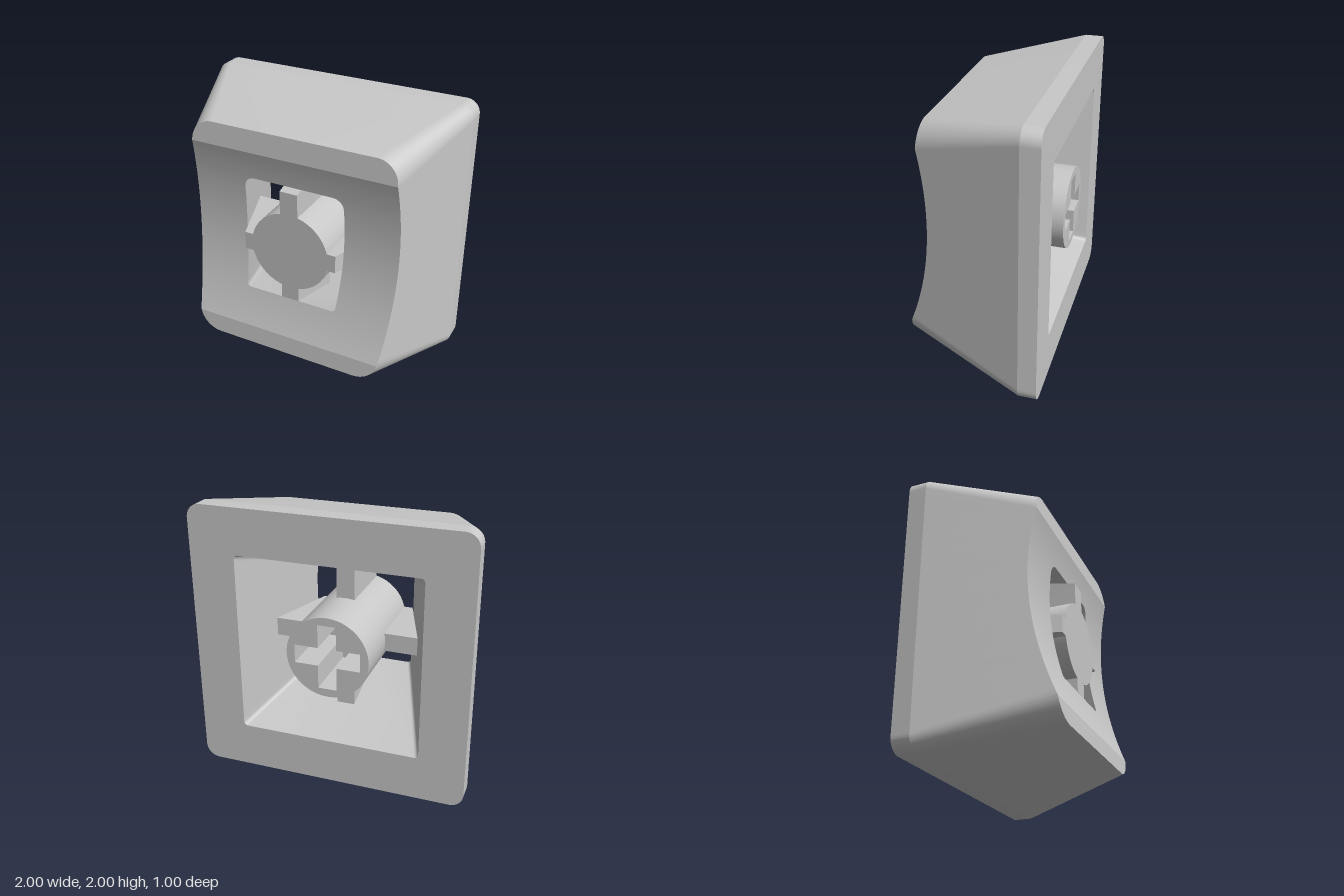
import * as THREE from 'three';
import { toCreasedNormals } from 'three/addons/utils/BufferGeometryUtils.js';

const BACK = -0.5, SKIRT = -0.37, STEM_FRONT = 0.39;

// Rounded-rectangle sections at depth z: outer shell and inner cavity
function outer(z) {
  const d = Math.max(0, z - SKIRT), r = 0.1 + 0.085 * d;
  return { hx: 1 - 0.31 * d, top: 2 - 0.205 * d, bot: 0.207 * d, rt: r, rb: r };
}
function inner(z) {
  const d = z - BACK;
  return { hx: 0.667 - 0.348 * d, top: 1.667 - 0.225 * d, bot: 0.333 + 0.3 * d, rt: 0.03 + 0.06 * d, rb: 0.03 - 0.005 * d };
}

// Depth of the dished face at height y: two flat lips and a shallow scoop between
function dish(y) {
  if (y > 1.69) return 0.369 - 0.1 * (y - 1.69);
  if (y < 0.32) return 0.485 - 0.1 * (y - 0.32);
  const u = (y - 1.005) / 0.685;
  return 0.369 + 0.0847 * (1.69 - y) - 0.11 * (1 - u * u);
}

// Point on the +x half of a section: u 0-1 top corner, 1-2 side, 2-3 bottom corner
function point(section, u, z) {
  const { hx, top, bot, rt, rb } = section(z);
  if (u >= 1 && u <= 2) return new THREE.Vector3(hx, THREE.MathUtils.lerp(top - rt, bot + rb, u - 1), z);
  const r = u < 1 ? rt : rb;
  const a = (u < 1 ? 1 - u : 2 - u) * Math.PI / 2;
  return new THREE.Vector3(hx - r + r * Math.cos(a), (u < 1 ? top - r : bot + r) + r * Math.sin(a), z);
}

// Where the section's line u meets the dished face
function onDish(section, u) {
  let z = 0.4;
  for (let i = 0; i < 30; i++) z = dish(point(section, u, z).y);
  return point(section, u, z);
}

// Line u that meets the dished face at height y
function lineAt(section, y) {
  let lo = 0, hi = 3;
  for (let i = 0; i < 40; i++) {
    const mid = (lo + hi) / 2;
    if (onDish(section, mid).y > y) lo = mid; else hi = mid;
  }
  return (lo + hi) / 2;
}

const steps = (from, to, n) => Array.from({ length: n + 1 }, (_, i) => from + (to - from) * i / n);

// Geometry from quads, each repeated on the mirrored side
function mirrored(quads, crease) {
  const pos = [];
  const tri = (...p) => p.forEach(v => pos.push(v.x, v.y, v.z));
  const flip = v => new THREE.Vector3(-v.x, v.y, v.z);
  for (const [a, b, c, d] of quads) {
    for (const t of [[a, b, c], [a, c, d]]) {
      tri(...t);
      tri(...t.map(flip).reverse());
    }
  }
  const g = new THREE.BufferGeometry();
  g.setAttribute('position', new THREE.Float32BufferAttribute(pos, 3));
  return toCreasedNormals(g, crease);
}

// Close a half loop onto the centre line
function closeHalf(points) {
  const first = points[0].clone().setX(0), last = points[points.length - 1].clone().setX(0);
  return [first, ...points, last];
}

// Quads joining successive half loops
function skin(rings, inward) {
  const quads = [];
  for (let k = 0; k + 1 < rings.length; k++) {
    const [back, front] = [rings[k], rings[k + 1]];
    for (let i = 0; i + 1 < back.length; i++) {
      const q = [front[i], front[i + 1], back[i + 1], back[i]];
      quads.push(inward ? q.reverse() : q);
    }
  }
  return quads;
}

function fullLoop(half) {
  return [...half, ...half.map(v => new THREE.Vector3(-v.x, v.y, v.z)).reverse()].map(v => new THREE.Vector2(v.x, v.y));
}

export function createModel() {
  const group = new THREE.Group();
  const plastic = new THREE.MeshStandardMaterial({ color: 0xc8c8c8 });
  plastic.name = 'light grey plastic';
  const add = (name, geometry) => {
    const mesh = new THREE.Mesh(geometry, plastic);
    mesh.name = name;
    group.add(mesh);
    return mesh;
  };

  // Shared rows, so that face, shell and cavity meet edge to edge
  const holeYs = [...steps(0, 1, 8), ...steps(2, 3, 5)].map(u => onDish(inner, u).y);
  const rowYs = [...holeYs, ...steps(0.32, 1.69, 32)];
  const outerUs = [...steps(0, 1, 14), ...steps(2, 3, 14), ...rowYs.map(y => lineAt(outer, y))]
    .sort((a, b) => a - b).filter((u, i, all) => i === 0 || u - all[i - 1] > 1e-5);
  const rim = outerUs.map(u => onDish(outer, u));
  const holeTop = onDish(inner, 0).y, holeBottom = onDish(inner, 3).y;
  const innerUs = rim.filter(p => p.y < holeTop + 1e-4 && p.y > holeBottom - 1e-4).map(p => lineAt(inner, p.y));

  // Outer shell: straight skirt, then tapering walls
  const ring = (section, us, z) => us.map(u => point(section, u, z));
  add('outerShell', mirrored(skin([
    closeHalf(ring(outer, outerUs, BACK)), closeHalf(ring(outer, outerUs, SKIRT)), closeHalf(rim),
  ]), 0.19));

  // Dished face with its window
  const face = [];
  for (let i = 0; i + 1 < rim.length; i++) {
    const [a, b] = [rim[i], rim[i + 1]], mid = (a.y + b.y) / 2;
    const open = mid < holeTop && mid > holeBottom;
    const edge = p => open ? onDish(inner, lineAt(inner, p.y)).setY(p.y).setZ(p.z) : p.clone().setX(0);
    face.push([edge(a), edge(b), b, a]);
  }
  add('dishedFace', mirrored(face, 0.19));

  // Tapering cavity behind the face
  add('cavityWalls', mirrored(skin([
    closeHalf(ring(inner, innerUs, BACK)), closeHalf(innerUs.map(u => onDish(inner, u))),
  ], true), 0.45));

  // Flat rim at the back
  const rimShape = new THREE.Shape(fullLoop(ring(outer, outerUs, BACK)));
  rimShape.holes.push(new THREE.Path(fullLoop(ring(inner, innerUs, BACK))));
  add('backRim', new THREE.ShapeGeometry(rimShape).rotateY(Math.PI).translate(0, 0, BACK));

  // Stem: round post with a cross-shaped socket open to the back
  const socketShape = new THREE.Shape().absarc(0, 0, 0.3, 0, Math.PI * 2);
  const a = 0.24, w = 0.068;
  socketShape.holes.push(new THREE.Path([
    [a, w], [w, w], [w, a], [-w, a], [-w, w], [-a, w], [-a, -w], [-w, -w], [-w, -a], [w, -a], [w, -w], [a, -w],
  ].map(p => new THREE.Vector2(...p))));
  const socket = new THREE.ExtrudeGeometry(socketShape, { depth: 0.5, bevelEnabled: false, curveSegments: 48 });
  add('stemSocket', toCreasedNormals(socket, 0.5).translate(0, 1, BACK));
  add('stemFront', new THREE.CylinderGeometry(0.3, 0.3, STEM_FRONT, 48).rotateX(Math.PI / 2).translate(0, 1, STEM_FRONT / 2));

  // Four ribs holding the stem, ending on the cavity walls
  const ribBack = -0.125, thick = 0.135;
  const reaches = {
    leftRib: [0, s => s.hx], topRib: [1, s => s.top - 1], rightRib: [2, s => s.hx], bottomRib: [3, s => 1 - s.bot],
  };
  for (const [name, [turn, reach]] of Object.entries(reaches)) {
    const shape = new THREE.Shape([
      [0.28, ribBack], [reach(inner(ribBack)), ribBack], [reach(inner(STEM_FRONT)), STEM_FRONT], [0.28, STEM_FRONT],
    ].map(p => new THREE.Vector2(...p)));
    const rib = new THREE.ExtrudeGeometry(shape, { depth: thick, bevelEnabled: false });
    rib.rotateX(Math.PI / 2).translate(0, thick / 2, 0).rotateZ(turn * Math.PI / 2).translate(0, 1, 0);
    add(name, rib);
  }
  return group;
}
